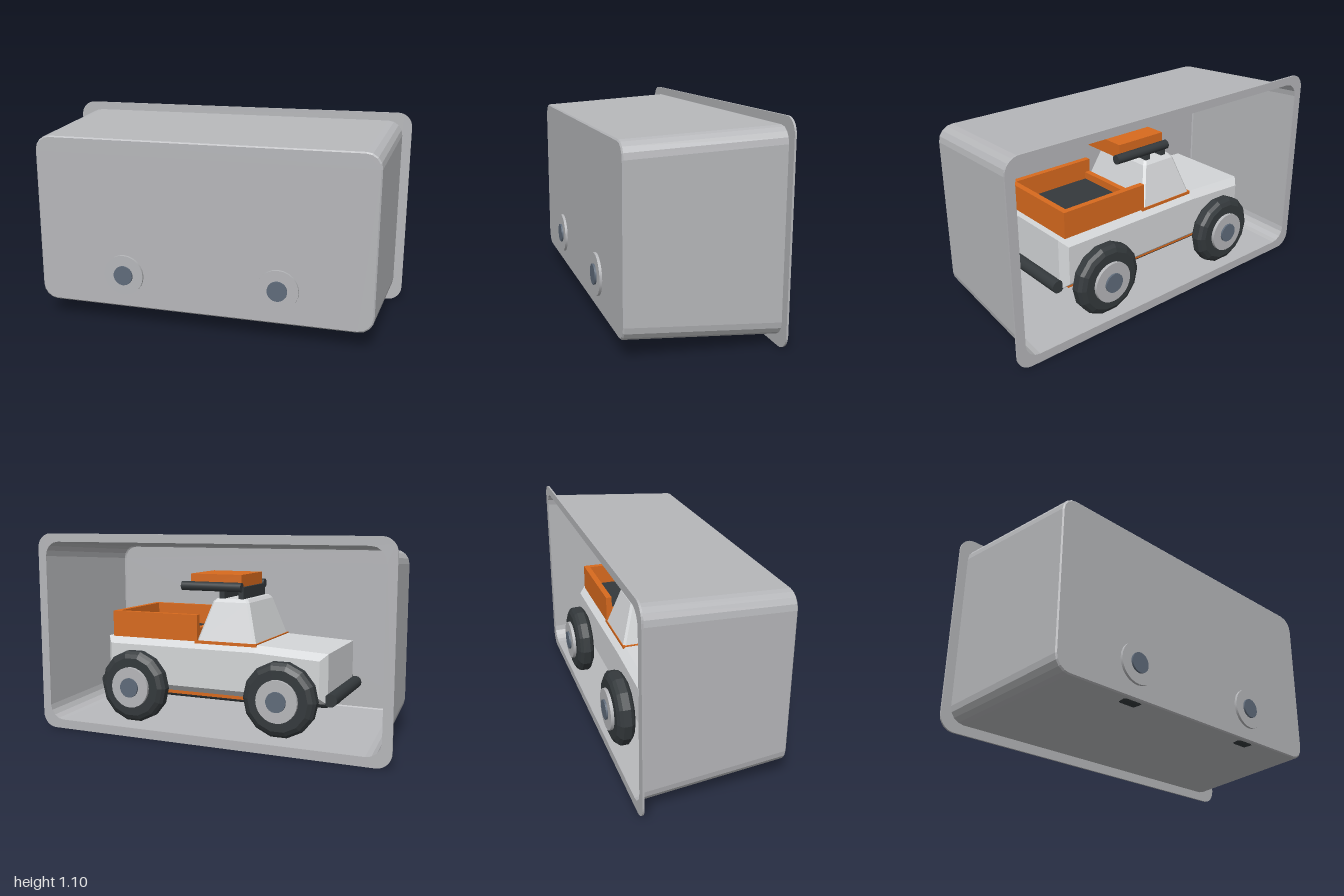
import * as THREE from 'three';

const mat = (name, color, extra = {}) => {
  const m = new THREE.MeshStandardMaterial({ color, ...extra });
  m.name = name;
  return m;
};

// Rounded rectangle outline, counter-clockwise
function roundedRect(x0, x1, y0, y1, r, seg = 4) {
  const pts = [];
  const corners = [[x1 - r, y1 - r], [x0 + r, y1 - r], [x0 + r, y0 + r], [x1 - r, y0 + r]];
  corners.forEach(([cx, cy], i) => {
    for (let k = 0; k <= seg; k++) {
      const a = (i + k / seg) * Math.PI / 2;
      pts.push(new THREE.Vector2(cx + r * Math.cos(a), cy + r * Math.sin(a)));
    }
  });
  return pts;
}

// Joins outlines stacked along z with flat faces; caps are optional
function loft(sections, capStart, capEnd) {
  const pos = [];
  const n = sections[0].pts.length;
  const put = (s, i) => pos.push(s.pts[i % n].x, s.pts[i % n].y, s.z);
  for (let j = 0; j < sections.length - 1; j++) {
    const a = sections[j], b = sections[j + 1];
    for (let i = 0; i < n; i++) {
      put(a, i); put(a, i + 1); put(b, i + 1);
      put(a, i); put(b, i + 1); put(b, i);
    }
  }
  const first = sections[0], last = sections[sections.length - 1];
  for (let i = 1; i < n - 1; i++) {
    if (capStart) { put(first, 0); put(first, i + 1); put(first, i); }
    if (capEnd) { put(last, 0); put(last, i); put(last, i + 1); }
  }
  const g = new THREE.BufferGeometry();
  g.setAttribute('position', new THREE.Float32BufferAttribute(pos, 3));
  g.computeVertexNormals();
  return g;
}

export function createModel() {
  const shellGrey = mat('shell grey', 0xb6b7ba, { side: THREE.DoubleSide });
  const bodyGrey = mat('body grey', 0xd4d6d8);
  const orange = mat('orange', 0xd86a1e);
  const black = mat('charcoal', 0x34393c);
  const steel = mat('hub steel', 0x5f6b7a);

  const model = new THREE.Group();
  const truck = new THREE.Group();
  truck.name = 'truck';
  model.add(truck);
  const add = (parent, name, geo, material, x = 0, y = 0, z = 0) => {
    const m = new THREE.Mesh(geo, material);
    m.name = name;
    m.position.set(x, y, z);
    parent.add(m);
    return m;
  };
  // Box given by its limits
  const block = (name, material, x0, x1, y0, y1, z0, z1) =>
    add(truck, name, new THREE.BoxGeometry(x1 - x0, y1 - y0, z1 - z0), material,
      (x0 + x1) / 2, (y0 + y1) / 2, (z0 + z1) / 2);
  const alongX = (r, len) => new THREE.CylinderGeometry(r, r, len, 12).rotateZ(Math.PI / 2);
  const alongZ = (r, len, n = 12) => new THREE.CylinderGeometry(r, r, len, n).rotateX(Math.PI / 2);

  // Tapered display shell, open at the back
  add(model, 'shell', loft([
    { pts: roundedRect(-0.95, 0.95, 0.05, 1.055, 0.08), z: -0.38 },
    { pts: roundedRect(-0.91, 0.91, 0.095, 1.012, 0.08), z: 0.38 },
    { pts: roundedRect(-0.903, 0.903, 0.102, 1.005, 0.075), z: 0.386 },
  ], false, true), shellGrey);

  // Flat rim around the opening
  const rim = new THREE.Shape(roundedRect(-1, 1, 0, 1.1, 0.08, 8));
  rim.holes.push(new THREE.Path(roundedRect(-0.95, 0.95, 0.05, 1.055, 0.08)));
  add(model, 'rim', new THREE.ExtrudeGeometry(rim, { depth: 0.01, bevelEnabled: false }),
    shellGrey, 0, 0, -0.385);

  // Truck body with bevelled sides and a falling bonnet
  const side = new THREE.Shape([[0.64, 0.25], [0.64, 0.53], [-0.25, 0.53], [-0.64, 0.51], [-0.64, 0.25]]
    .map(([x, y]) => new THREE.Vector2(x, y)));
  add(truck, 'body', new THREE.ExtrudeGeometry(side, {
    depth: 0.48, bevelThickness: 0.04, bevelSize: 0.035, bevelOffset: -0.035, bevelSegments: 1,
  }), bodyGrey, 0, 0, -0.24);
  block('chassis', orange, -0.56, 0.58, 0.23, 0.27, -0.23, 0.23);
  block('cabBase', orange, -0.255, 0.1, 0.515, 0.536, -0.252, 0.252);

  // Cab, narrowing to the roof
  add(truck, 'cab', loft([
    { pts: roundedRect(-0.25, 0.09, -0.25, 0.25, 0.012, 1), z: 0.53 },
    { pts: roundedRect(-0.185, 0.025, -0.185, 0.185, 0.012, 1), z: 0.74 },
    { pts: roundedRect(-0.17, 0.01, -0.17, 0.17, 0.012, 1), z: 0.757 },
  ], true, true).rotateX(-Math.PI / 2), bodyGrey);

  // Load bed
  const t = 0.032;
  block('bedFloor', black, 0.1, 0.59, 0.53, 0.56, -0.235, 0.235);
  block('tailgate', orange, 0.605 - t, 0.605, 0.53, 0.672, -0.25, 0.25);
  block('bedFrontWall', orange, 0.085, 0.085 + t, 0.53, 0.6, -0.25 + t, 0.25 - t);

  // Roof load on two rails
  block('roofLoad', orange, -0.13, 0.17, 0.81, 0.885, -0.15, 0.15);
  for (const x of [-0.13, -0.02]) block('rackSupport', black, x - 0.015, x + 0.015, 0.74, 0.82, -0.16, 0.16);

  // Parts mirrored across the truck
  for (const s of [-1, 1]) {
    const z = s * (0.25 - t / 2);
    block('bedSide', orange, 0.085, 0.605, 0.53, 0.672, z - t / 2, z + t / 2);
    add(truck, 'roofRail', alongX(0.025, 0.35), black, 0.035, 0.82, s * 0.17);
    add(truck, 'sillBar', alongX(0.025, 0.75), black, 0, 0.235, s * 0.2);
    add(truck, 'bumper', alongZ(0.035, 0.5), black, s * 0.655, 0.275, 0);
  }

  // Wheels with faceted tyres, discs and hub caps
  const tyreProfile = [[0, -0.048], [0.16, -0.048], [0.182, -0.036], [0.196, -0.02],
    [0.196, 0.02], [0.182, 0.036], [0.16, 0.048], [0, 0.048]]
    .map(([r, h]) => new THREE.Vector2(r, h));
  let tyre = new THREE.LatheGeometry(tyreProfile, 14, Math.PI / 14).rotateX(Math.PI / 2).toNonIndexed();
  tyre.computeVertexNormals();
  for (const x of [-0.42, 0.42]) {
    add(truck, 'axle', alongZ(0.03, 0.6), black, x, 0.278, 0);
    for (const s of [-1, 1]) {
      const wheel = new THREE.Group();
      wheel.name = 'wheel';
      wheel.position.set(x, 0.278, 0);
      truck.add(wheel);
      add(wheel, 'tyre', tyre, black, 0, 0, s * 0.335);
      add(wheel, 'wheelDisc', alongZ(0.11, 0.04, 24), shellGrey, 0, 0, s * 0.38);
      add(wheel, 'hubCap', alongZ(0.053, 0.04, 18), steel, 0, 0, s * 0.39);
    }
  }
  return model;
}
